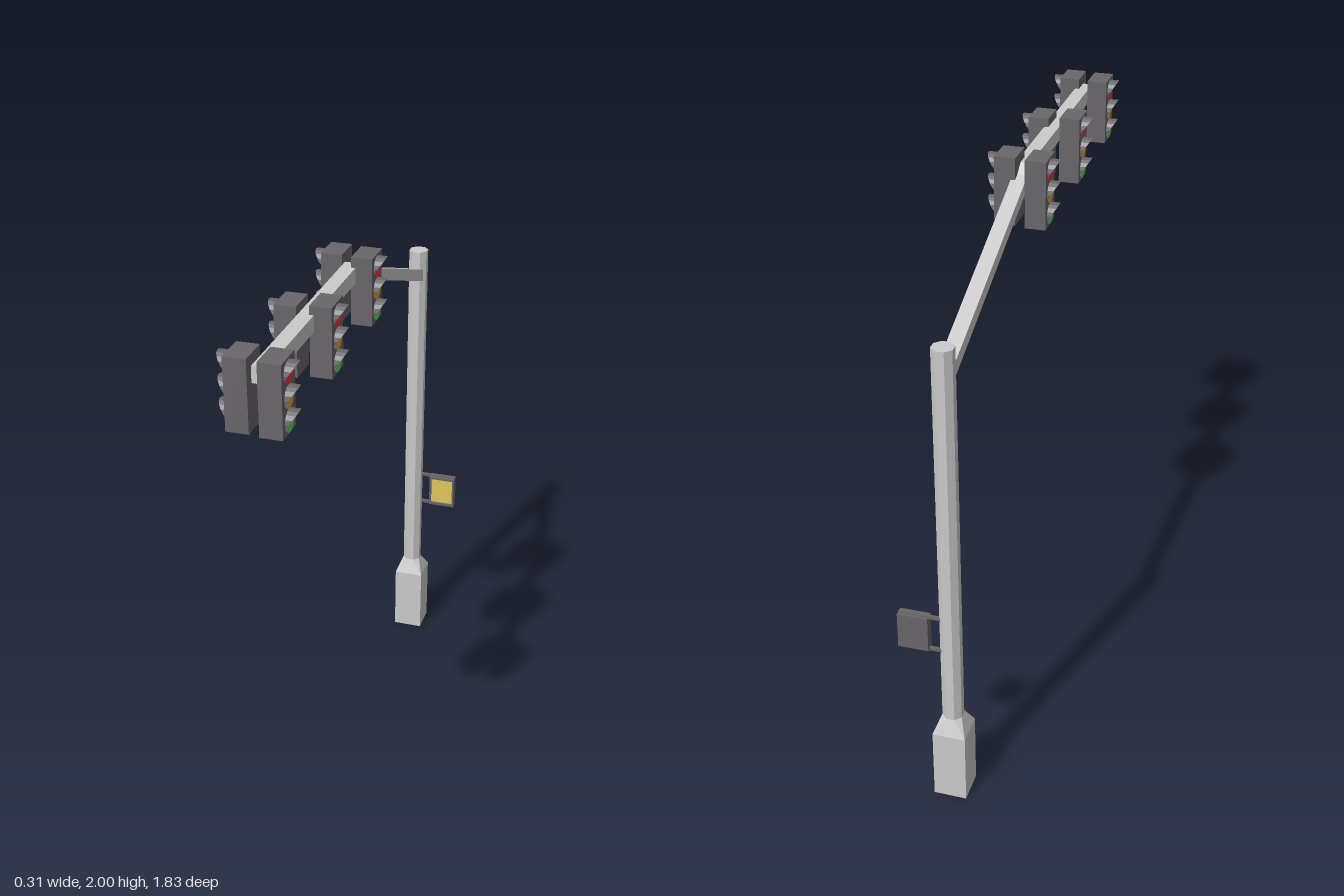
import * as THREE from 'three';
import { ConvexGeometry } from 'three/addons/geometries/ConvexGeometry.js';

const paint = (color) => new THREE.MeshStandardMaterial({ color, flatShading: true });
const grey = paint(0xcccccc);
const dark = paint(0x69666a);
const darkThin = paint(0x69666a);
darkThin.side = THREE.DoubleSide;
const red = paint(0xe03a3a), amber = paint(0xd9a640), green = paint(0x62d062), yellow = paint(0xe0c860);

const PX = -0.025, PZ = -0.858; // pole axis

function add(parent, name, geometry, material, x = 0, y = 0, z = 0) {
  const mesh = new THREE.Mesh(geometry, material);
  mesh.name = name;
  mesh.position.set(x, y, z);
  parent.add(mesh);
  return mesh;
}
const box = (w, h, d) => new THREE.BoxGeometry(w, h, d);

// Hood over a lens: tube along +x, longest at the crown, cut back on a slant
function visorGeometry(r, length) {
  const g = new THREE.CylinderGeometry(r, r, 1, 10, 1, true, Math.PI * 0.9, Math.PI * 1.2);
  g.rotateZ(-Math.PI / 2).translate(0.5, 0, 0);
  const p = g.attributes.position;
  for (let i = 0; i < p.count; i++) {
    const reach = Math.max(0.03, 0.28 + 0.72 * p.getY(i) / r);
    p.setX(i, p.getX(i) * length * reach);
  }
  g.computeVertexNormals();
  return g;
}

// Three-lamp signal head, back at x = 0, facing +x
function signalHead() {
  const head = new THREE.Group();
  head.name = 'signalHead';
  const depth = 0.072;
  add(head, 'housing', box(depth, 0.234, 0.112), dark, depth / 2);
  const lens = new THREE.CylinderGeometry(0.036, 0.036, 0.004, 20).rotateZ(-Math.PI / 2);
  const visor = visorGeometry(0.038, 0.035);
  [['redLens', red], ['amberLens', amber], ['greenLens', green]].forEach(([name, mat], i) => {
    const y = 0.073 - i * 0.075;
    add(head, name, lens, mat, depth + 0.001, y);
    add(head, 'visor', visor, darkThin, depth, y);
  });
  return head;
}

export function createModel() {
  const model = new THREE.Group();
  model.name = 'trafficSignalPole';

  // Square plinth, square-to-octagon transition and octagonal pole
  const half = 0.057, baseTop = 0.265, neckTop = 0.325, apothem = 0.034;
  const radius = apothem / Math.cos(Math.PI / 8);
  add(model, 'base', box(half * 2, baseTop, half * 2), grey, PX, baseTop / 2, PZ);
  const neck = [];
  for (const sx of [-1, 1]) for (const sz of [-1, 1]) neck.push(new THREE.Vector3(sx * half, baseTop, sz * half));
  for (let i = 0; i < 8; i++) {
    const a = (i + 0.5) * Math.PI / 4;
    neck.push(new THREE.Vector3(radius * Math.sin(a), neckTop, radius * Math.cos(a)));
  }
  add(model, 'baseNeck', new ConvexGeometry(neck), grey, PX, 0, PZ);
  const poleHeight = 1.715 - baseTop;
  const pole = new THREE.CylinderGeometry(radius, radius, poleHeight, 8).rotateY(Math.PI / 8);
  add(model, 'pole', pole, grey, PX, baseTop + poleHeight / 2, PZ);

  // Arm: side profile (z, y) bent once, extruded across x
  const profile = new THREE.Shape([
    [-0.84, 1.595], [0.01, 1.912], [0.87, 1.912], [0.87, 1.965], [0.0, 1.965], [-0.04, 1.936], [-0.84, 1.642],
  ].map(([z, y]) => new THREE.Vector2(-z, y)));
  const arm = new THREE.ExtrudeGeometry(profile, { depth: 0.05, bevelEnabled: false });
  arm.translate(0, 0, -0.025).rotateY(Math.PI / 2);
  add(model, 'arm', arm, grey, PX);

  // Signal heads along both sides of the arm: [z on left, z on right, y]
  const heads = [[-0.01, -0.021, 1.883], [0.412, 0.432, 1.877], [0.859, 0.85, 1.883]];
  for (const [zl, zr, y] of heads) {
    const left = signalHead();
    left.position.set(-0.015, y, zl);
    const right = signalHead();
    right.position.set(-0.05, y, zr);
    right.rotation.y = Math.PI;
    model.add(left, right);
  }

  // Pedestrian sign: framed case with a recessed panel, held by two brackets
  const sign = new THREE.Group();
  sign.name = 'pedestrianSign';
  sign.position.set(0.097, 0.663, -0.87);
  const w = 0.104, h = 0.13;
  const rect = (W, H) => [[-W, -H], [W, -H], [W, H], [-W, H]].map(([x, y]) => new THREE.Vector2(x / 2, y / 2));
  const frame = new THREE.Shape(rect(w, h));
  frame.holes.push(new THREE.Path(rect(w - 0.014, h - 0.02).reverse()));
  add(sign, 'case', box(w, h, 0.024), dark, 0, 0, -0.006);
  add(sign, 'frame', new THREE.ExtrudeGeometry(frame, { depth: 0.012, bevelEnabled: false }), dark, 0, 0, 0.006);
  add(sign, 'panel', box(w - 0.014, h - 0.02, 0.004), yellow, 0, 0, 0.008);
  for (const s of [-1, 1]) add(sign, 'bracket', box(0.145, 0.01, 0.012), dark, -0.0205, s * 0.064, -0.001);
  model.add(sign);

  return model;
}
